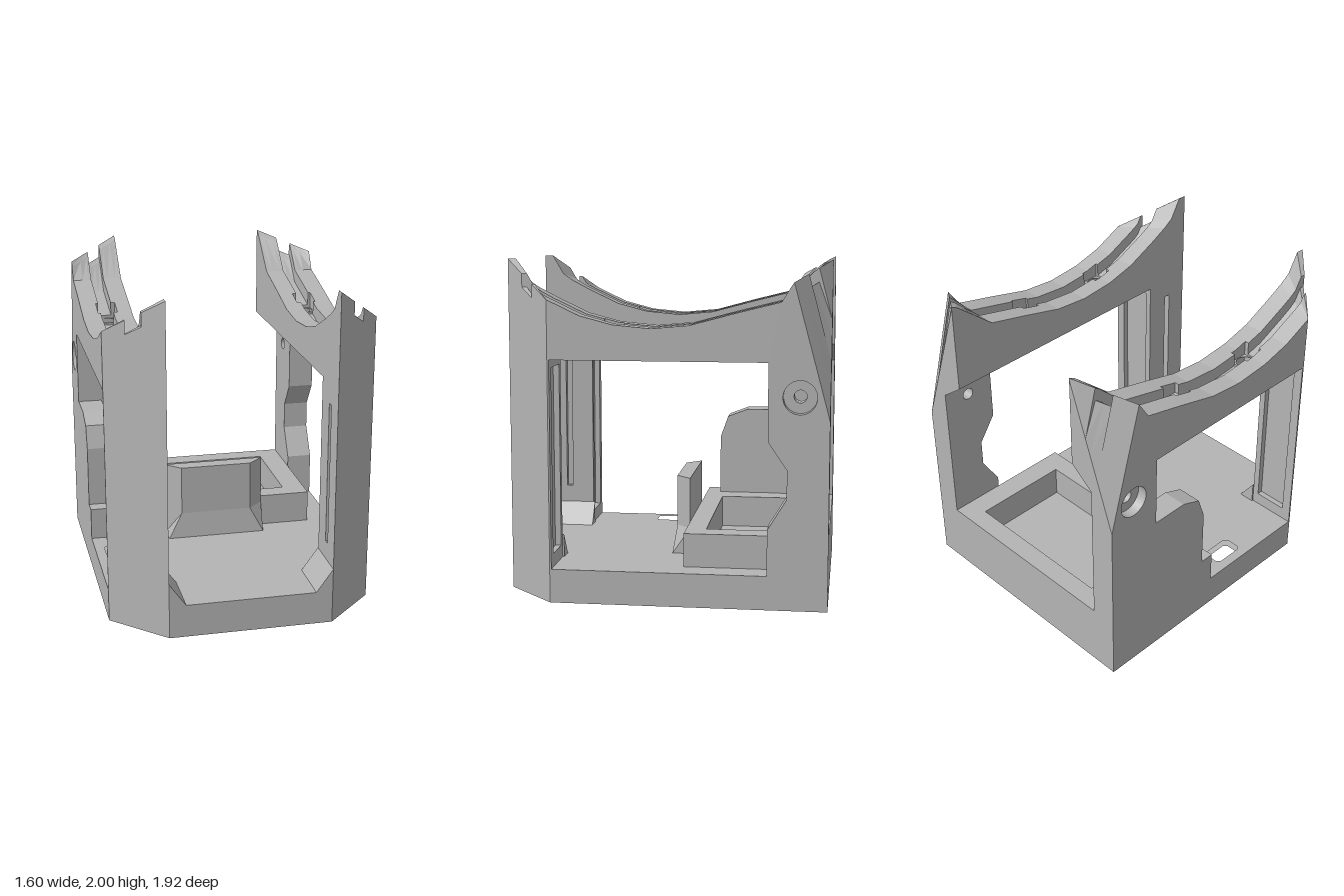
import * as THREE from 'three';

const grey = new THREE.MeshStandardMaterial({ color: 0xb4b4b4 });
grey.name = 'grey plastic';

function part(parent, name, geometry) {
  const flat = geometry.index ? geometry.toNonIndexed() : geometry;
  flat.computeVertexNormals();
  const mesh = new THREE.Mesh(flat, grey);
  mesh.name = name;
  parent.add(mesh);
  return mesh;
}

// Horizontal slab from [x, z] outlines between two heights.
function plate(outline, holes, y0, y1) {
  const flip = (pts) => pts.map(([x, z]) => new THREE.Vector2(x, -z));
  const shape = new THREE.Shape(flip(outline));
  holes.forEach((h) => shape.holes.push(new THREE.Path(flip(h))));
  const g = new THREE.ExtrudeGeometry(shape, { depth: y1 - y0, bevelEnabled: false });
  return g.rotateX(-Math.PI / 2).translate(0, y0, 0);
}

const rect = (x0, x1, z0, z1) => [[x0, z0], [x1, z0], [x1, z1], [x0, z1]];

function circle(cx, cy, r, n = 32) {
  return Array.from({ length: n }, (_, i) => {
    const a = (i / n) * Math.PI * 2;
    return [cx + r * Math.cos(a), cy + r * Math.sin(a)];
  });
}

// Solid between two matching [z, y] outlines at x0 < x1; side -1 mirrors it.
function slice(c0, c1, x0, x1, holes = [], side = 1) {
  const pos = [];
  const prep = (pts, clockwise) => {
    const v = pts.map(([z, y]) => new THREE.Vector2(-z, y));
    return THREE.ShapeUtils.isClockWise(v) === clockwise ? v : v.reverse();
  };
  const tri = (a, b, c) => {
    for (const p of side > 0 ? [a, b, c] : [a, c, b]) pos.push(side * p[2], p[1], -p[0]);
  };
  const h = holes.map((p) => prep(p, true));
  const ends = [[prep(c0, false), x0], [prep(c1, false), x1]];
  ends.forEach(([c, x], end) => {
    const all = [c, ...h].flat();
    for (const f of THREE.ShapeUtils.triangulateShape(c, h)) {
      const [a, b, d] = f.map((i) => all[i]);
      const area = (b.x - a.x) * (d.y - a.y) - (b.y - a.y) * (d.x - a.x);
      const p = [a, b, d].map((v) => [v.x, v.y, x]);
      if ((area > 0) === (end === 1)) tri(p[0], p[1], p[2]);
      else tri(p[0], p[2], p[1]);
    }
  });
  const loops = [[ends[0][0], ends[1][0]], ...h.map((p) => [p, p])];
  for (const [l0, l1] of loops) {
    l0.forEach((_, i) => {
      const j = (i + 1) % l0.length;
      const a0 = [l0[i].x, l0[i].y, x0], b0 = [l0[j].x, l0[j].y, x0];
      const a1 = [l1[i].x, l1[i].y, x1], b1 = [l1[j].x, l1[j].y, x1];
      tri(a0, b0, b1);
      tri(a0, b1, a1);
    });
  }
  const g = new THREE.BufferGeometry();
  g.setAttribute('position', new THREE.Float32BufferAttribute(pos, 3));
  return g;
}

// Keep the part of a [z, y] outline where sign * (z - limit) >= 0.
function clip(pts, limit, sign) {
  const out = [];
  pts.forEach((a, i) => {
    const b = pts[(i + 1) % pts.length];
    const da = sign * (a[0] - limit), db = sign * (b[0] - limit);
    if (da >= 0) out.push(a);
    if (da * db < 0) {
      const k = da / (da - db);
      out.push([limit, a[1] + (b[1] - a[1]) * k]);
    }
  });
  return out;
}

const RAIL = [[-0.68, 1.77], [-0.42, 1.705], [-0.16, 1.635], [0.06, 1.615], [0.28, 1.635], [0.47, 1.685], [0.66, 1.775]];

// Side frame outline at distance x from the middle: rear post, saddle rail, front post.
function frameOutline(x, { drop, post, recess, notch }) {
  const t = (x - 0.49) / 0.31;
  const L = (a, b) => a + (b - a) * t;
  const under = 1.43 - 0.8 * (x - 0.49);
  return [
    [-0.96, post ? 0.2 : under],
    [-0.96, L(1.99, 1.1)],
    [L(-0.96, -0.75), L(2, 1.88) - drop],
    [L(-0.92, -0.73), L(1.98, 1.85) - drop],
    ...RAIL.map(([z, y]) => [z, y - drop]),
    [L(0.775, 0.66), L(1.835, 1.775) - drop],
    [L(0.84, 0.66), L(1.88, 1.775) - drop],
    [L(0.91, 0.66), L(2, 1.775) - drop],
    [L(0.96, 0.66), L(2, 1.775) - drop],
    [L(0.96, 0.66), 0.2],
    [0.65, 0.2],
    ...(recess ? [[0.65, 0.28], [0.685, 0.28], [0.685, 1.38], [0.65, 1.38]] : []),
    [0.65, 1.43],
    [-0.61, 1.43],
    ...(notch ? [[-0.61, 0.98], [-0.72, 0.82], [-0.72, 0.65], [-0.61, 0.47]] : []),
    [-0.61, post ? 0.2 : under],
  ];
}

function sideFrame(side) {
  const group = new THREE.Group();
  group.name = side > 0 ? 'leftFrame' : 'rightFrame';
  const xs = [0.49, 0.53, 0.58, 0.605, 0.64, 0.685, 0.7, 0.74, 0.8];
  for (let i = 0; i < xs.length - 1; i++) {
    const [x0, x1] = [xs[i], xs[i + 1]];
    const post = x0 >= 0.64;
    const options = {
      post,
      drop: x0 >= 0.605 && x1 <= 0.685 ? 0.08 : 0, // groove along the rail
      recess: x0 >= 0.53 && x1 <= 0.74,
      notch: post && side > 0,
    };
    const a = frameOutline(x0, options), b = frameOutline(x1, options);
    const bore = post ? [circle(-0.79, 1.235, x0 >= 0.74 ? 0.097 : 0.037)] : [];
    const slit = i === 0 ? [[[0.79, 0.45], [0.83, 0.45], [0.83, 1.31], [0.79, 1.31]]] : [];
    if (x0 >= 0.58 && x1 <= 0.7) {
      // Leave gaps in the rail for the two drilled plugs.
      const mid = (p) => clip(clip(p, -0.24, 1), 0.24, -1);
      part(group, 'rearFrameSlice', slice(clip(a, -0.36, -1), clip(b, -0.36, -1), x0, x1, bore, side));
      part(group, 'railSlice', slice(mid(a), mid(b), x0, x1, [], side));
      part(group, 'frontFrameSlice', slice(clip(a, 0.36, 1), clip(b, 0.36, 1), x0, x1, [], side));
    } else {
      part(group, 'frameSlice', slice(a, b, x0, x1, [...bore, ...slit], side));
    }
  }
  // Drilled plugs in the rail
  for (const z of [-0.3, 0.3]) {
    const x = side * 0.64;
    part(group, 'drilledPlug', plate(rect(x - 0.06, x + 0.06, z - 0.06, z + 0.06), [circle(x, z, 0.055, 24)], 1.43, z < 0 ? 1.59 : 1.565));
  }
  // Gusset at the foot of the front post
  const gusset = new THREE.Shape([[0.49, 0.2], [0.49, 0.34], [0.39, 0.2]].map(([x, y]) => new THREE.Vector2(side * x, y)));
  part(group, 'frontGusset', new THREE.ExtrudeGeometry(gusset, { depth: 0.32, bevelEnabled: false }).translate(0, 0, 0.64));
  return group;
}

export function createModel() {
  const model = new THREE.Group();
  model.name = 'cradle';

  // Base with a blind round socket underneath and a cable slot
  const base = [[-0.8, -0.96], [0.8, -0.96], [0.8, 0.66], [0.49, 0.96], [-0.49, 0.96], [-0.8, 0.66]];
  const slot = [[-0.74, 0.05], [-0.72, 0.03], [-0.64, 0.03], [-0.62, 0.05], [-0.62, 0.21], [-0.64, 0.23], [-0.72, 0.23], [-0.74, 0.21]];
  part(model, 'baseLower', plate(base, [slot, circle(0, 0.05, 0.36, 48)], 0, 0.15));
  part(model, 'baseUpper', plate(base, [slot], 0.15, 0.2));

  // Raised tray with a rectangular pocket
  const tray = [[-0.8, -0.11], [0.64, -0.11], [0.64, -0.96], [-0.64, -0.96], [-0.64, -0.61], [-0.8, -0.61]];
  part(model, 'tray', plate(tray, [rect(-0.49, 0.5, -0.84, -0.23)], 0.2, 0.4));

  // Cheek plate on one side of the tray
  const cheek = [[-0.2, 0.4], [-0.2, 0.78], [-0.25, 0.92], [-0.38, 0.97], [-0.61, 0.97], [-0.61, 0.4]];
  part(model, 'cheek', slice(cheek, cheek, 0.65, 0.8, [], -1));

  // Upright stop: chamfered sides that flare out at the foot
  const stop = new THREE.BoxGeometry(0.64, 0.47, 0.09, 1, 2, 1);
  const p = stop.attributes.position;
  for (let i = 0; i < p.count; i++) {
    const y = p.getY(i), front = p.getZ(i) > 0, foot = y < -0.1;
    const half = !front ? 0.32 : foot ? 0.31 : 0.225;
    const height = foot ? 0.2 : y > 0.1 ? 0.67 : 0.36;
    p.setXYZ(i, Math.sign(p.getX(i)) * half, height, !front ? -0.11 : foot ? 0 : -0.02);
  }
  part(model, 'stop', stop);

  model.add(sideFrame(1), sideFrame(-1));
  return model;
}
